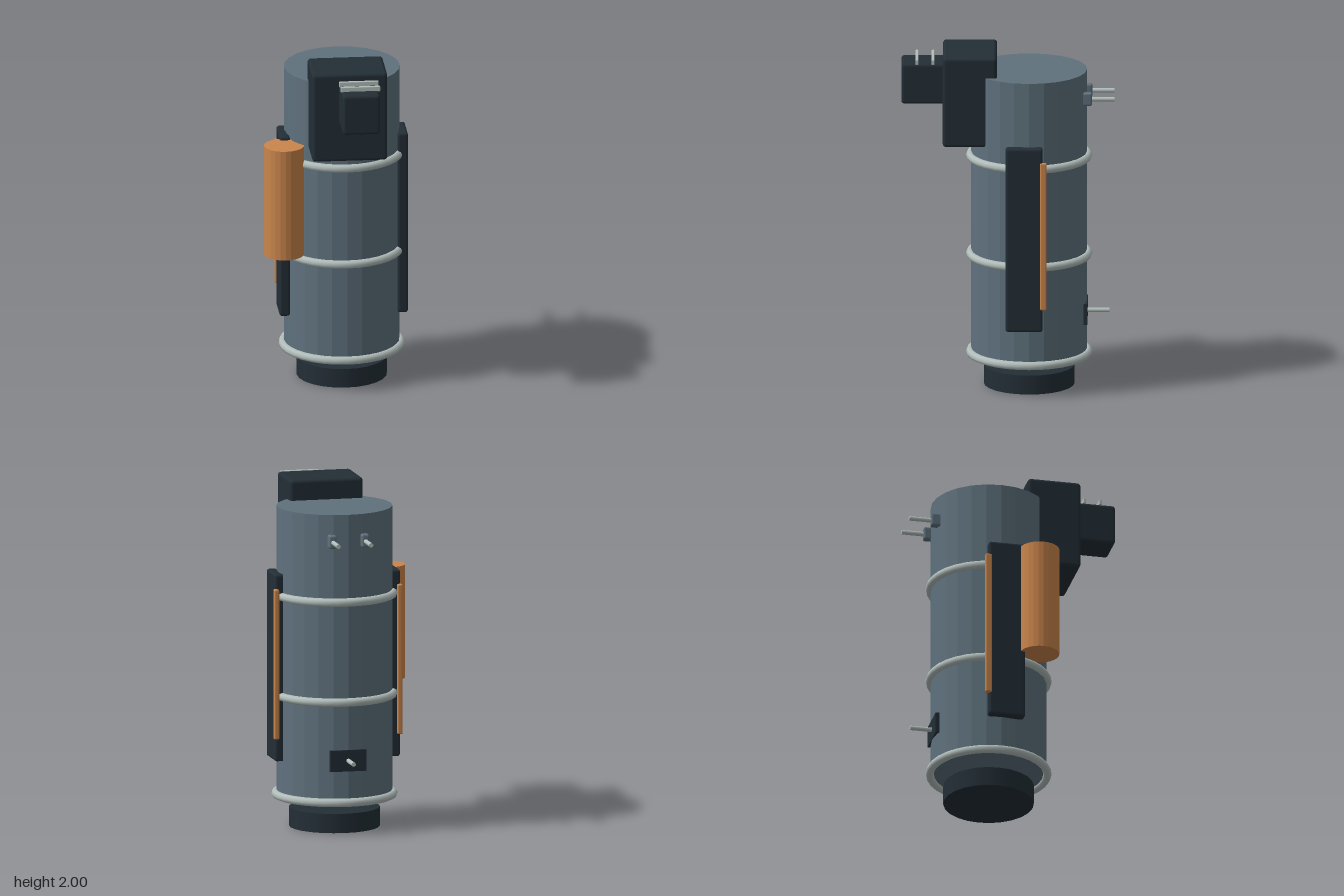
import * as THREE from 'three';
import { RoundedBoxGeometry } from 'three/addons/geometries/RoundedBoxGeometry.js';

const CX = 0.043, CZ = -0.123; // axis of the main barrel

function material(name, color, flatShading = false) {
  const m = new THREE.MeshStandardMaterial({ color, flatShading });
  m.name = name;
  return m;
}

export function createModel() {
  const group = new THREE.Group();
  const slate = material('slate', 0x5f717d, true);
  const dark = material('darkSteel', 0x232e36);
  const metal = material('paleMetal', 0xb2bebb);
  const copper = material('copper', 0xca854c, true);

  const add = (name, geometry, mat, x, y, z) => {
    const mesh = new THREE.Mesh(geometry, mat);
    mesh.name = name;
    mesh.position.set(x, y, z);
    group.add(mesh);
    return mesh;
  };
  // Upright cylinder between two heights
  const drum = (name, r, y0, y1, mat, x, z) =>
    add(name, new THREE.CylinderGeometry(r, r, y1 - y0, 24), mat, x, (y0 + y1) / 2, z);
  // Rounded box from its extents on each axis
  const block = (name, [x0, x1], [y0, y1], [z0, z1], r, mat) =>
    add(name, new RoundedBoxGeometry(x1 - x0, y1 - y0, z1 - z0, 2, r), mat,
      (x0 + x1) / 2, (y0 + y1) / 2, (z0 + z1) / 2);
  // Rod pointing backwards
  const rod = (name, x, y, z0, z1) => {
    const g = new THREE.CylinderGeometry(0.013, 0.013, z1 - z0, 12).rotateX(Math.PI / 2);
    add(name, g, metal, x, y, (z0 + z1) / 2);
  };

  // Barrel and foot
  drum('barrel', 0.335, 0.19, 1.88, slate, CX, CZ);
  drum('foot', 0.262, 0, 0.113, dark, CX, CZ);

  // Hoops around the barrel
  for (const y of [0.192, 0.78, 1.367]) {
    const g = new THREE.TorusGeometry(0.34, 0.025, 8, 32).rotateX(Math.PI / 2);
    add('hoop', g, metal, CX, y, CZ);
  }

  // Head housing with its snout and two cross bars
  block('headHousing', [-0.175, 0.261], [1.465, 2], [0.063, 0.376], 0.02, dark);
  block('snout', [-0.021, 0.196], [1.708, 1.948], [0.36, 0.615], 0.018, dark);
  for (const z of [0.432, 0.525]) {
    block('crossBar', [-0.026, 0.204], [1.943, 1.975], [z - 0.009, z + 0.009], 0.005, metal);
  }

  // Side panels with copper strips
  for (const s of [-1, 1]) {
    const span = (a, b) => [CX + s * a, CX + s * b].sort((p, q) => p - q);
    block('sidePanel', span(0.312, 0.373), [0.402, 1.5], [-0.203, 0.012], 0.015, dark);
    block('copperStrip', span(0.352, 0.382), [0.535, 1.415], [-0.226, -0.188], 0.008, copper);
  }

  // Copper tank beside the barrel
  drum('tank', 0.116, 0.815, 1.48, copper, -0.313, 0.097);

  // Upper rear pegs in brackets
  for (const s of [-1, 1]) {
    const x = CX + s * 0.097;
    block('pegBracket', [x - 0.022, x + 0.022], [1.688, 1.765], [-0.487, -0.42], 0.01, slate);
    rod('upperPeg', x, 1.725, -0.616, -0.46);
  }

  // Lower rear peg on its plate
  add('pegPlate', new THREE.BoxGeometry(0.215, 0.125, 0.035), dark, CX, 0.437, -0.443);
  rod('lowerPeg', CX, 0.437, -0.588, -0.44);

  return group;
}
